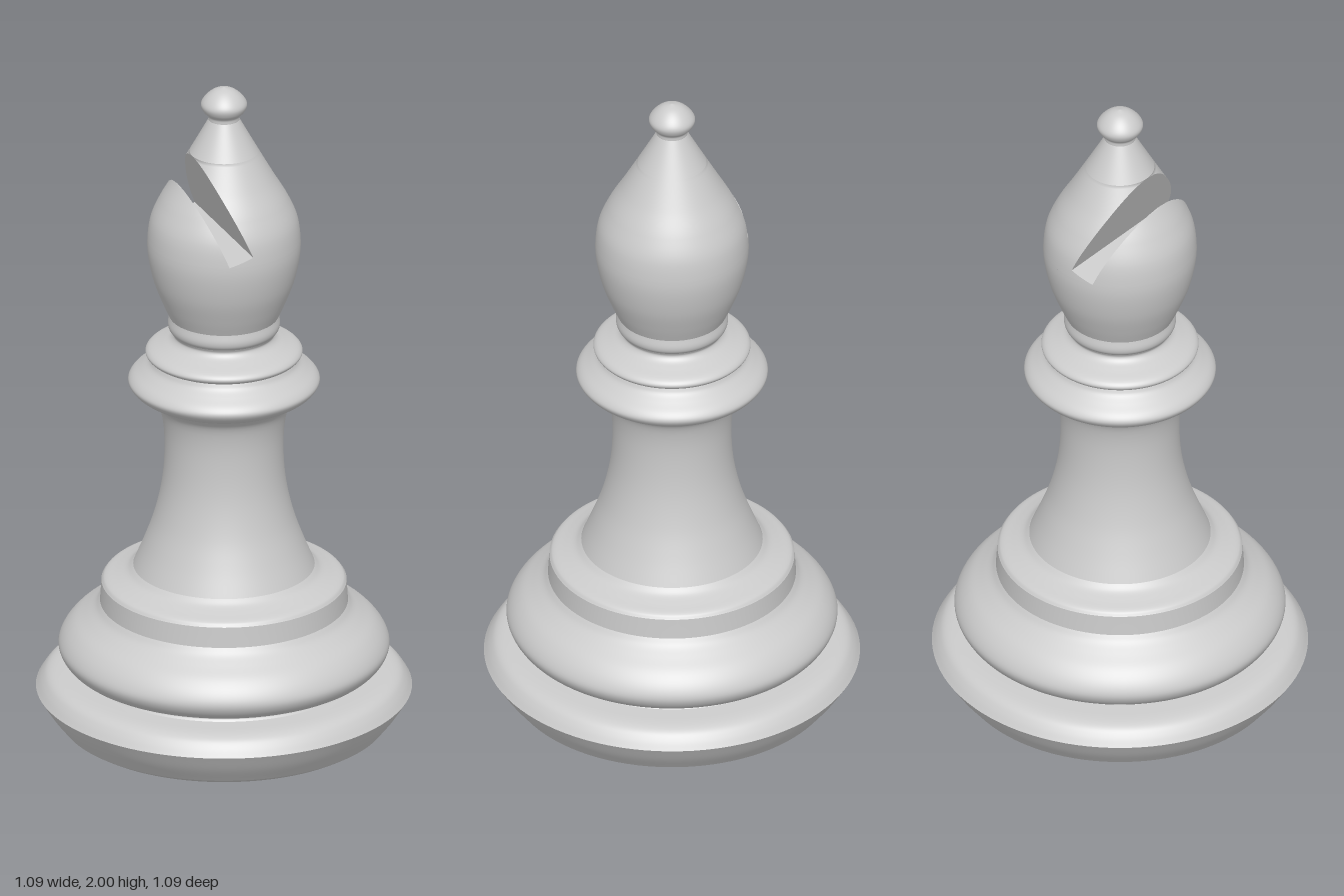
import * as THREE from 'three';
import { ParametricGeometry } from 'three/addons/geometries/ParametricGeometry.js';

const SEGMENTS = 96;
const material = new THREE.MeshStandardMaterial({ color: 0xcccccc, roughness: 0.6 });

// Smooth curve through [radius, height] points
function smooth(points, samples) {
  const curve = new THREE.CatmullRomCurve3(points.map(([r, y]) => new THREE.Vector3(r, y, 0)));
  return curve.getPoints(samples).map(p => new THREE.Vector2(Math.max(p.x, 0), p.y));
}

function addMesh(parent, name, geometry) {
  const mesh = new THREE.Mesh(geometry, material);
  mesh.name = name;
  parent.add(mesh);
}

// Turned sections, bottom to top; each is smooth in itself with a crease to the next
const SECTIONS = [
  ['baseUnderside', [[0, 0], [0.45, 0.008]]],
  ['baseLowerEdge', [[0.45, 0.008], [0.473, 0.022]]],
  ['baseBevel', [[0.473, 0.022], [0.51, 0.07], [0.543, 0.122]]],
  ['baseRim', [[0.543, 0.122], [0.527, 0.147], [0.51, 0.165], [0.485, 0.175], [0.41, 0.18]]],
  ['baseGroove', [[0.41, 0.18], [0.405, 0.188], [0.41, 0.196]]],
  ['baseBulge', [[0.41, 0.196], [0.445, 0.206], [0.468, 0.228], [0.478, 0.255], [0.468, 0.285],
    [0.44, 0.32], [0.4, 0.35], [0.372, 0.372], [0.358, 0.39]]],
  ['stepWall', [[0.358, 0.39], [0.356, 0.42], [0.354, 0.452]]],
  ['stepTop', [[0.354, 0.452], [0.345, 0.463], [0.31, 0.475], [0.28, 0.487], [0.262, 0.502]]],
  ['stem', [[0.262, 0.502], [0.23, 0.58], [0.202, 0.66], [0.18, 0.76], [0.172, 0.86],
    [0.176, 0.95], [0.19, 1.005], [0.212, 1.032]]],
  ['collar', [[0.212, 1.032], [0.245, 1.047], [0.268, 1.065], [0.277, 1.083], [0.268, 1.1],
    [0.24, 1.122], [0.218, 1.14], [0.21, 1.155]]],
  ['collarRing', [[0.21, 1.155], [0.222, 1.162], [0.227, 1.172], [0.218, 1.184], [0.18, 1.2],
    [0.155, 1.212], [0.146, 1.225], [0.15, 1.235]]],
  ['headBead', [[0.15, 1.235], [0.159, 1.246], [0.162, 1.26], [0.158, 1.285]]],
  ['finial', [[0.045, 1.9], [0.046, 1.912], [0.06, 1.927], [0.067, 1.947], [0.056, 1.968],
    [0.03, 1.99], [0, 2]]],
];

// Head outline, and its radius at any height
const HEAD = smooth([[0.158, 1.285], [0.178, 1.33], [0.204, 1.4], [0.22, 1.48], [0.221, 1.53],
  [0.212, 1.59], [0.186, 1.65], [0.145, 1.72], [0.1, 1.8], [0.063, 1.867], [0.045, 1.9]], 400);

function headRadius(y) {
  let i = 1;
  while (i < HEAD.length - 1 && HEAD[i].y < y) i++;
  const a = HEAD[i - 1], b = HEAD[i];
  return THREE.MathUtils.mapLinear(y, a.y, b.y, a.x, b.x);
}

function fullHead(y0, y1, rows) {
  const points = [];
  for (let i = 0; i <= rows; i++) {
    const y = THREE.MathUtils.lerp(y0, y1, i / rows);
    points.push(new THREE.Vector2(headRadius(y), y));
  }
  return new THREE.LatheGeometry(points, SEGMENTS);
}

// The part of the head on one side (+1 or -1) of a sloping cut from point a to point b:
// the curved skin and the flat cut face
function addCutHead(parent, name, side, a, b, rows) {
  const at = v => {
    const y = THREE.MathUtils.lerp(a[1], b[1], v);
    const x = THREE.MathUtils.lerp(a[0], b[0], v);
    const r = headRadius(y);
    return { x, y, r, half: Math.acos(THREE.MathUtils.clamp(side * x / r, -1, 1)) };
  };
  const skin = (u, v, target) => {
    const { y, r, half } = at(v);
    const t = half * (1 - 2 * u);
    target.set(side * r * Math.cos(t), y, side * r * Math.sin(t));
  };
  const face = (u, v, target) => {
    const { x, y, r, half } = at(v);
    target.set(x, y, side * r * Math.sin(half) * (2 * u - 1));
  };
  addMesh(parent, name + 'Skin', new ParametricGeometry(skin, SEGMENTS, rows));
  addMesh(parent, name + 'CutFace', new ParametricGeometry(face, 2, rows));
}

export function createModel() {
  const model = new THREE.Group();
  model.name = 'chessBishop';

  for (const [name, points] of SECTIONS) {
    const outline = smooth(points, points.length > 2 ? points.length * 4 : 1);
    addMesh(model, name, new THREE.LatheGeometry(outline, SEGMENTS));
  }

  // Head with a slanted slot running through it from front to back
  const head = new THREE.Group();
  head.name = 'head';
  const slotOuter = [-0.07, 1.525], slotInner = [0, 1.55];
  addMesh(head, 'headLower', fullHead(1.285, slotOuter[1], 24));
  addCutHead(head, 'slotFloor', 1, slotOuter, slotInner, 4);
  addCutHead(head, 'headMain', 1, slotInner, [-0.1, 1.8], 30);
  addCutHead(head, 'headLip', -1, slotOuter, [-0.145, 1.72], 30);
  addMesh(head, 'headUpper', fullHead(1.8, 1.9, 12));
  model.add(head);

  return model;
}
